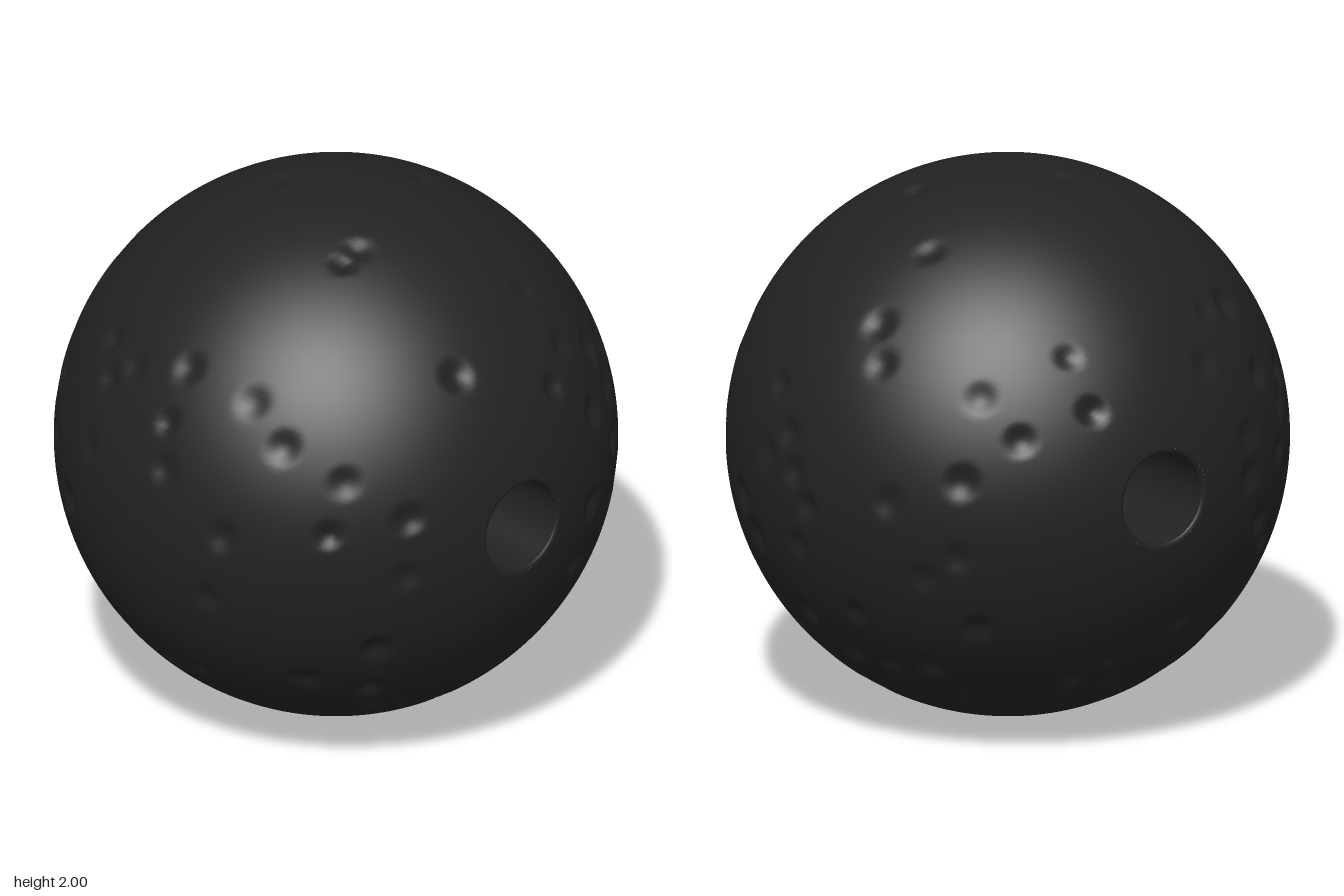
import * as THREE from 'three';
import { mergeVertices } from 'three/addons/utils/BufferGeometryUtils.js';

const HOLE = 0.168, RIM = 0.184;

// Most visible pits, as [u, v] pairs seen along one direction: right axis, up axis
const patches = [
  { right: [1, 0, 0], up: [0, 1, 0], at: [
    -0.27, 0.9, 0.32, 0.7, 0.63, 0.25, 0.62, 0.06, 0.4, -0.07, 0.33, -0.29, 0.7, -0.12,
    0.08, -0.66, -0.33, -0.76, -0.5, -0.4, -0.46, -0.08, -0.45, 0.14] },
  { right: [0, 0, -1], up: [0, 1, 0], at: [
    0.26, 0.82, 0.29, 0.6, 0.11, 0.05, 0.51, 0.01, 0.59, -0.26, 0.29, -0.45, 0.12, -0.65,
    -0.21, -0.74] },
  { right: [1, 0, 0], up: [0, 0, -1], at: [-0.1, 0.18, 0.34, -0.09, -0.2, -0.33] },
  { right: [-0.82, 0, 0.57], up: [0.24, 0.91, 0.34], at: [
    0.01, -0.1, 0.09, -0.39, 0.24, -0.14, 0.63, 0.22, -0.69, 0.27, 0, -0.83] },
];

// Repeatable number stream from 0 to 1
function seeded(seed) {
  return () => {
    seed = (seed * 16807) % 2147483647;
    return seed / 2147483647;
  };
}

function collectDents() {
  const dents = [];
  const random = seeded(4217);
  const addDent = (p) => dents.push({ p, radius: 0.06 + 0.02 * random(), depth: 0.014 + 0.012 * random() });
  for (const { right, up, at } of patches) {
    const r = new THREE.Vector3(...right).normalize();
    const u = new THREE.Vector3(...up).normalize();
    const d = new THREE.Vector3().crossVectors(r, u);
    for (let i = 0; i < at.length; i += 2) {
      const c = Math.sqrt(1 - at[i] ** 2 - at[i + 1] ** 2);
      addDent(new THREE.Vector3().addScaledVector(r, at[i]).addScaledVector(u, at[i + 1]).addScaledVector(d, c).normalize());
    }
  }
  // finer pits scattered over the lower part and flanks, clear of the bore and of each other
  while (dents.length < 100) {
    const y = 0.6 - 1.55 * random(), a = 2 * Math.PI * random(), s = Math.sqrt(1 - y * y);
    const p = new THREE.Vector3(s * Math.cos(a), y, s * Math.sin(a));
    const clear = Math.hypot(p.x, p.y) > 0.4 && dents.every((q) => q.p.distanceTo(p) > 0.13);
    if (clear) addDent(p);
  }
  return dents;
}

// Drilled ball, turned about the hole axis and then pitted
function pittedBall() {
  const profile = [];
  const steps = 160, start = Math.asin(RIM);
  for (let i = 0; i <= steps; i++) {
    const t = start + (Math.PI - 2 * start) * (i / steps);
    profile.push(new THREE.Vector2(Math.sin(t), -Math.cos(t)));
  }
  const turned = new THREE.LatheGeometry(profile, 256).rotateX(Math.PI / 2);
  turned.deleteAttribute('uv');
  turned.deleteAttribute('normal');
  const ball = mergeVertices(turned, 1e-5);
  const dents = collectDents();
  const pos = ball.attributes.position, v = new THREE.Vector3();
  for (let i = 0; i < pos.count; i++) {
    v.fromBufferAttribute(pos, i);
    let sink = 0;
    for (const { p, radius, depth } of dents) {
      const k = v.distanceTo(p) / radius;
      if (k < 1) sink = Math.max(sink, depth * (1 - k * k) ** 2);
    }
    v.multiplyScalar(1 - sink);
    pos.setXYZ(i, v.x, v.y, v.z);
  }
  ball.computeVertexNormals();
  return ball;
}

export function createModel() {
  const stone = new THREE.MeshStandardMaterial({ color: 0x222222 });
  stone.name = 'charcoal';
  const model = new THREE.Group();
  model.name = 'pittedBead';
  const addPart = (name, geometry) => {
    const mesh = new THREE.Mesh(geometry, stone);
    mesh.name = name;
    mesh.position.y = 1;
    model.add(mesh);
  };
  const turn = (points, angle) =>
    new THREE.LatheGeometry(points.map((p) => new THREE.Vector2(...p)), 96).rotateX(angle);

  addPart('pittedBall', pittedBall());

  // Straight bore through the ball
  const z = Math.sqrt(1 - RIM * RIM), inner = z - 0.006;
  addPart('bore', turn([[HOLE, inner], [HOLE, -inner]], Math.PI / 2));

  // Softened rims at both ends of the bore
  const lip = [[RIM, z], [HOLE + 0.006, z], [HOLE, inner]];
  addPart('frontRim', turn(lip, Math.PI / 2));
  addPart('backRim', turn(lip, -Math.PI / 2));
  return model;
}
